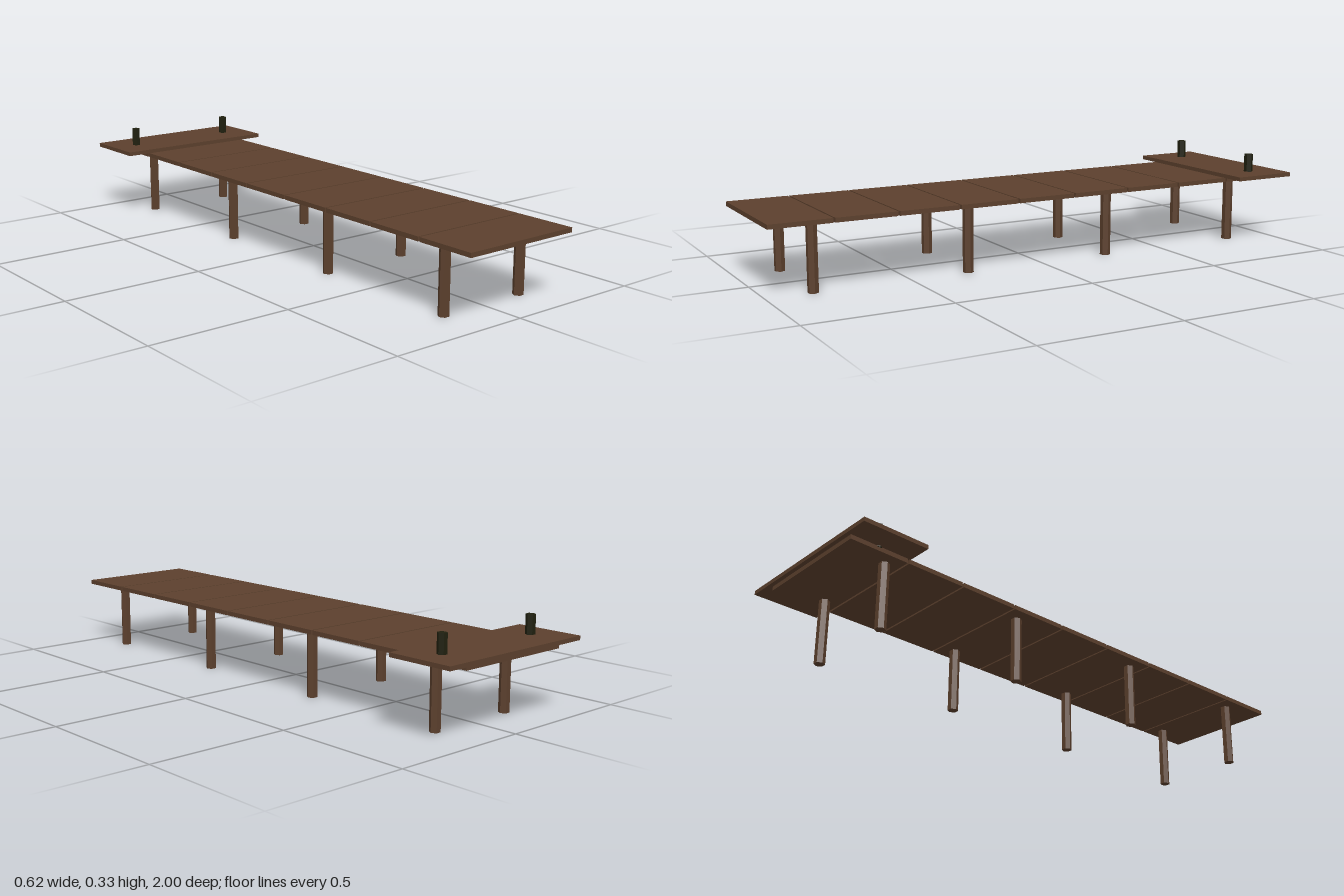
import * as THREE from 'three';

export function createModel() {
  const dock = new THREE.Group();
  dock.name = 'dock';
  const wood = new THREE.MeshStandardMaterial({ name: 'brownWood', color: 0x5c402d, flatShading: true });
  const iron = new THREE.MeshStandardMaterial({ name: 'darkIron', color: 0x20200f, flatShading: true });

  function add(name, geometry, material, x, y, z) {
    const mesh = new THREE.Mesh(geometry, material);
    mesh.name = name;
    mesh.position.set(x, y, z);
    dock.add(mesh);
  }

  // Six-sided upright with corners pointing to the sides
  const upright = (radius, height) =>
    new THREE.CylinderGeometry(radius, radius, height, 6).rotateY(Math.PI / 6);

  // Walkway planks with narrow gaps
  const plank = new THREE.BoxGeometry(0.442, 0.0155, 0.215);
  for (let i = 0; i < 9; i++) {
    add('plank' + (i + 1), plank, wood, 0, 0.2388, 0.8925 - i * 0.2213);
  }

  // Raised platform at the far end
  add('endPlatform', new THREE.BoxGeometry(0.62, 0.0145, 0.24), wood, 0, 0.2538, -0.88);

  // Support posts in pairs
  const post = upright(0.0185, 0.232);
  for (let i = 0; i < 4; i++) {
    for (const side of [-1, 1]) {
      add(side > 0 ? 'leftPost' : 'rightPost', post, wood, side * 0.166, 0.116, 0.84 - i * 0.5535);
    }
  }

  // Mooring bollards, let into the platform
  const bollard = upright(0.0163, 0.083);
  for (const side of [-1, 1]) {
    add(side > 0 ? 'leftBollard' : 'rightBollard', bollard, iron, side * 0.21, 0.2855, -0.88);
  }

  return dock;
}
